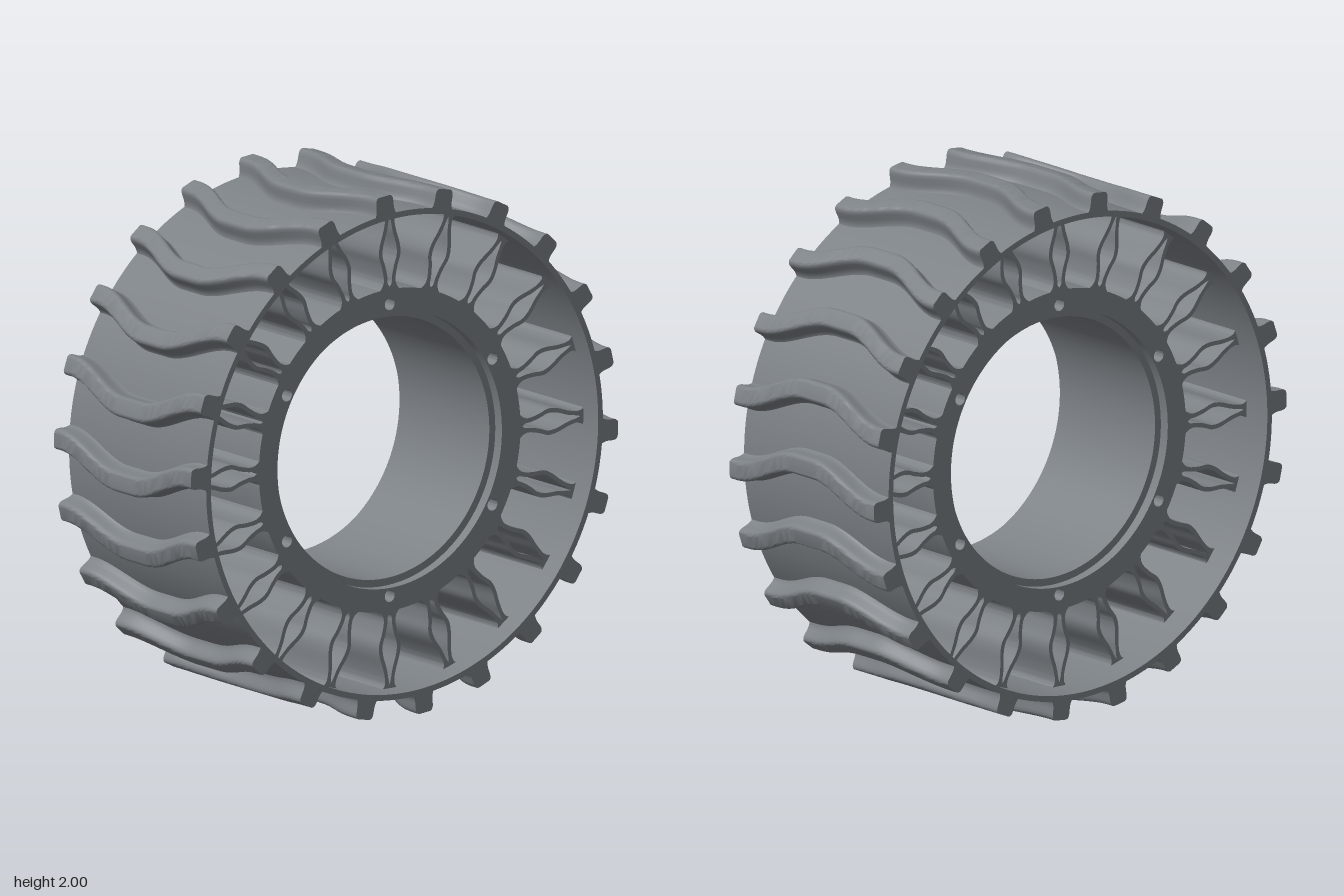
import * as THREE from 'three';
import { toCreasedNormals } from 'three/addons/utils/BufferGeometryUtils.js';

const RIM_HALF = 0.415;                      // half width of tread band
const CORE_BACK = -0.295, CORE_FRONT = 0.325; // hub and spokes, set back from the rim

// Flat outline extruded along the axle between two z values
function slab(shape, z0, z1, segments = 96) {
  const g = new THREE.ExtrudeGeometry(shape, { depth: z1 - z0, bevelEnabled: false, curveSegments: segments });
  g.translate(0, 0, z0);
  return toCreasedNormals(g, 0.6);
}

function circlePath(x, y, r) {
  return new THREE.Path().absarc(x, y, r, 0, Math.PI * 2, true);
}

function ringShape(outer, inner) {
  const s = new THREE.Shape().absarc(0, 0, outer, 0, Math.PI * 2, false);
  s.holes.push(circlePath(0, 0, inner));
  return s;
}

// Hub disc with six bolt holes
function hubShape(bore) {
  const s = ringShape(0.612, bore);
  for (let i = 0; i < 6; i++) {
    const a = Math.PI / 2 + i * Math.PI / 3;
    s.holes.push(circlePath(0.555 * Math.cos(a), 0.555 * Math.sin(a), 0.023));
  }
  return s;
}

// Smooth one side of a [radius, halfWidth] profile, then mirror it (counter-clockwise)
function mirroredOutline(profile) {
  const curve = new THREE.SplineCurve(profile.map(([r, w]) => new THREE.Vector2(r, w)));
  const side = curve.getPoints(36);
  const other = side.map(p => new THREE.Vector2(p.x, -p.y));
  return [...other, ...side.reverse()].filter((p, i, all) => p.distanceTo(all[(i + 1) % all.length]) > 1e-5);
}

// Flexible spoke: two bowed blades around a lens-shaped opening
function spokeGeometry() {
  const s = new THREE.Shape(mirroredOutline([
    [0.6, 0.062], [0.613, 0.042], [0.635, 0.029], [0.66, 0.028], [0.7, 0.037], [0.74, 0.05],
    [0.78, 0.047], [0.83, 0.031], [0.87, 0.022], [0.895, 0.024], [0.909, 0.036]]));
  s.holes.push(new THREE.Path(mirroredOutline([
    [0.622, 0], [0.635, 0.009], [0.66, 0.011], [0.7, 0.02], [0.74, 0.033],
    [0.78, 0.03], [0.83, 0.014], [0.87, 0.006], [0.893, 0]])));
  return slab(s, CORE_BACK, CORE_FRONT);
}

// Tread bar: rounded section swept across the width along a wave with flat crest and ends
function treadGeometry() {
  const half = [[0.058, 0.922], [0.049, 0.931], [0.044, 0.944], [0.042, 0.957], [0.041, 0.976],
    [0.039, 0.988], [0.034, 0.996], [0.027, 1.0], [0.021, 1.0]];
  const section = [...half.map(([t, r]) => [-t, r]), ...[...half].reverse()];
  const n = section.length, steps = 48;
  const pos = [], index = [];
  const wave = z => 0.048 * Math.cos(Math.PI * THREE.MathUtils.clamp((Math.abs(z) - 0.05) / 0.34, 0, 1));
  const put = (t, r, z) => pos.push(r * Math.cos(t + wave(z)), r * Math.sin(t + wave(z)), z);
  for (let j = 0; j <= steps; j++) {
    const z = -RIM_HALF + 2 * RIM_HALF * j / steps;
    section.forEach(([t, r]) => put(t, r, z));
  }
  for (let j = 0; j < steps; j++) {
    for (let i = 0; i < n - 1; i++) {
      const a = j * n + i, b = a + 1, c = a + n, d = c + 1;
      index.push(a, b, c, b, d, c);
    }
  }
  // End caps
  put(0, 0.922, -RIM_HALF);
  put(0, 0.922, RIM_HALF);
  const back = (steps + 1) * n, front = back + 1, last = steps * n;
  for (let i = 0; i < n - 1; i++) {
    index.push(back, i + 1, i, front, last + i, last + i + 1);
  }
  const g = new THREE.BufferGeometry();
  g.setAttribute('position', new THREE.Float32BufferAttribute(pos, 3));
  g.setIndex(index);
  return toCreasedNormals(g, 0.6);
}

export function createModel() {
  const model = new THREE.Group();
  model.name = 'airlessWheel';
  const grey = new THREE.MeshStandardMaterial({ color: 0x7c8186 });
  grey.name = 'slateGrey';

  const wheel = new THREE.Group();
  wheel.name = 'wheel';
  wheel.position.y = 1;
  model.add(wheel);

  const add = (name, geometry, angle = 0) => {
    const mesh = new THREE.Mesh(geometry, grey);
    mesh.name = name;
    mesh.rotation.z = angle;
    wheel.add(mesh);
  };

  // Outer band
  add('rimBand', slab(ringShape(0.928, 0.906), -RIM_HALF, RIM_HALF, 128));

  // Hub, with a shallow wider bore at each end
  const lip = 0.04;
  add('hubBarrel', slab(hubShape(0.497), CORE_BACK + lip, CORE_FRONT - lip));
  add('hubFrontFace', slab(hubShape(0.525), CORE_FRONT - lip, CORE_FRONT));
  add('hubBackFace', slab(hubShape(0.525), CORE_BACK, CORE_BACK + lip));

  const spoke = spokeGeometry();
  for (let i = 0; i < 20; i++) add('spoke', spoke, i * Math.PI / 10);

  const tread = treadGeometry();
  for (let i = 0; i < 22; i++) add('treadBar', tread, i * Math.PI / 11);

  return model;
}
